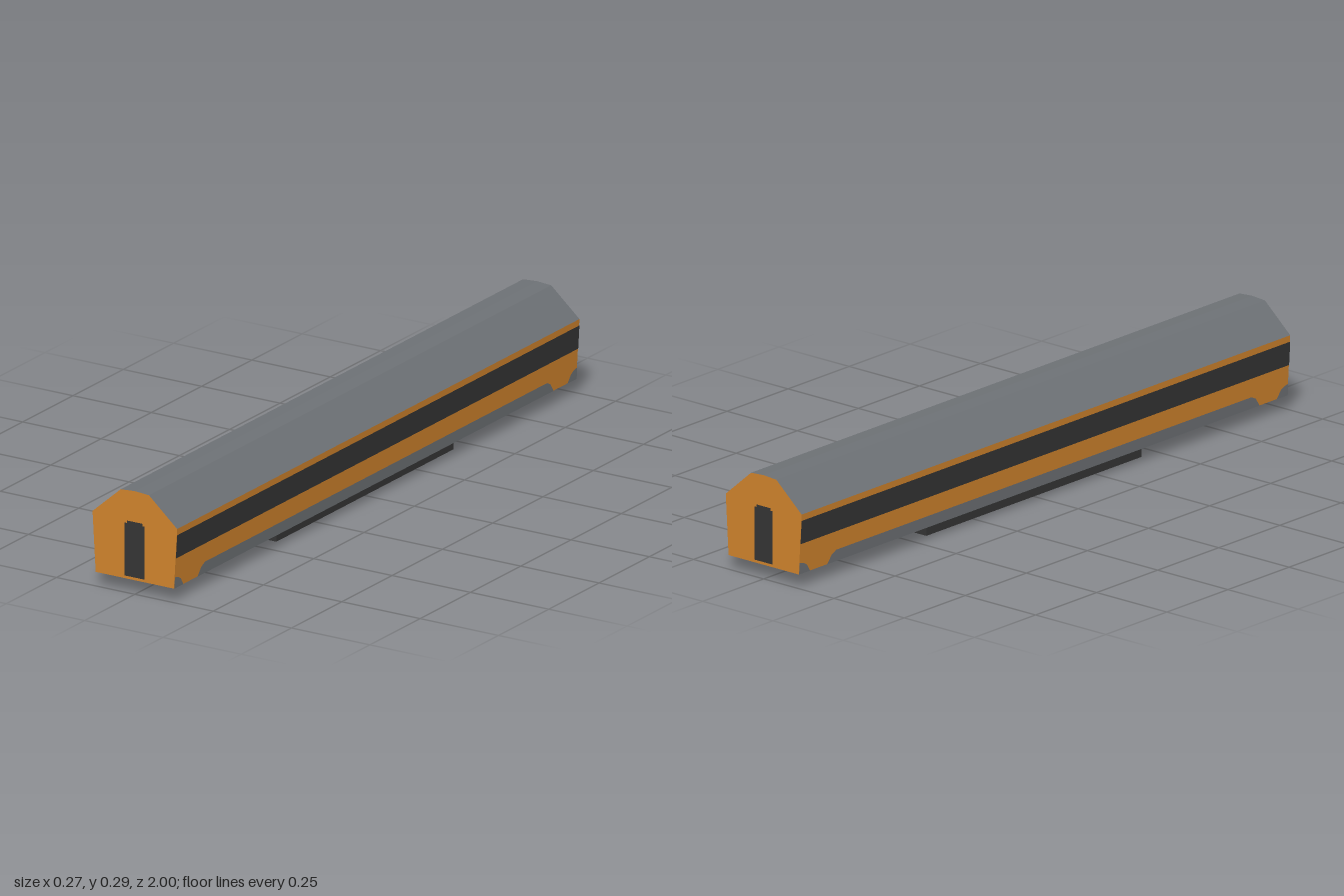
import * as THREE from 'three';

const mat = (name, color) => {
  const m = new THREE.MeshStandardMaterial({ color });
  m.name = name;
  return m;
};
const shapeOf = (pts) => new THREE.Shape(pts.map(([x, y]) => new THREE.Vector2(x, y)));

export function createModel() {
  const orange = mat('orange', 0xd0832c);
  const grey = mat('grey', 0x6d7175);
  const dark = mat('charcoal', 0x343434);
  const model = new THREE.Group();
  model.name = 'railCarriage';

  const add = (parent, name, geometry, material) => {
    const mesh = new THREE.Mesh(geometry, material);
    mesh.name = name;
    parent.add(mesh);
    return mesh;
  };

  // Prism along the full length: materials are [end caps, long sides]
  const prism = (name, pts, materials) => {
    const g = new THREE.ExtrudeGeometry(shapeOf(pts), { depth: 2, bevelEnabled: false });
    g.translate(0, 0, -1);
    add(model, name, g, materials);
  };
  prism('bodyShell', [[-0.125, 0.04], [0.125, 0.04], [0.135, 0.212], [-0.135, 0.212]], [orange, orange]);
  prism('roof', [[-0.135, 0.212], [0.135, 0.212], [0.045, 0.291], [0, 0.294], [-0.045, 0.291]], [orange, grey]);

  // Equipment box under the floor
  const box = add(model, 'underfloorBox', new THREE.BoxGeometry(0.184, 0.038, 0.88), dark);
  box.position.y = 0.019;

  // Thin painted panel lying on the sloping +x wall; points are (along, up)
  const wallPanel = (parent, name, pts, material) => {
    const g = new THREE.ShapeGeometry(shapeOf(pts));
    const p = g.attributes.position;
    for (let i = 0; i < p.count; i++) {
      const u = p.getX(i), y = p.getY(i);
      p.setXYZ(i, 0.126 + ((y - 0.04) / 0.172) * 0.01, y, -u);
    }
    g.computeVertexNormals();
    add(parent, name, g, material);
  };

  // Both halves match under a half turn
  for (const [side, end, angle] of [['left', 'front', 0], ['right', 'rear', Math.PI]]) {
    const half = new THREE.Group();
    half.name = side + 'WallAnd' + end + 'Door';
    half.rotation.y = angle;
    model.add(half);

    wallPanel(half, 'windowBand', [[-1, 0.127], [1, 0.127], [1, 0.194], [-1, 0.194]], dark);
    wallPanel(half, 'skirt',
      [[-0.885, 0.04], [0.885, 0.04], [0.868, 0.064], [0.85, 0.073], [-0.85, 0.073], [-0.868, 0.064]], grey);
    wallPanel(half, 'skirtCornerA', [[0.955, 0.04], [1, 0.04], [1, 0.073], [0.985, 0.07], [0.97, 0.062]], grey);
    wallPanel(half, 'skirtCornerB', [[-1, 0.04], [-0.955, 0.04], [-0.97, 0.062], [-0.985, 0.07], [-1, 0.073]], grey);

    // Gangway door with a narrowed top
    const door = shapeOf([[-0.032, 0.048], [0.032, 0.048], [0.032, 0.199], [0.025, 0.199],
      [0.025, 0.206], [-0.025, 0.206], [-0.025, 0.199], [-0.032, 0.199]]);
    add(half, 'gangwayDoor', new THREE.ShapeGeometry(door), dark).position.z = 1.001;
  }
  return model;
}
